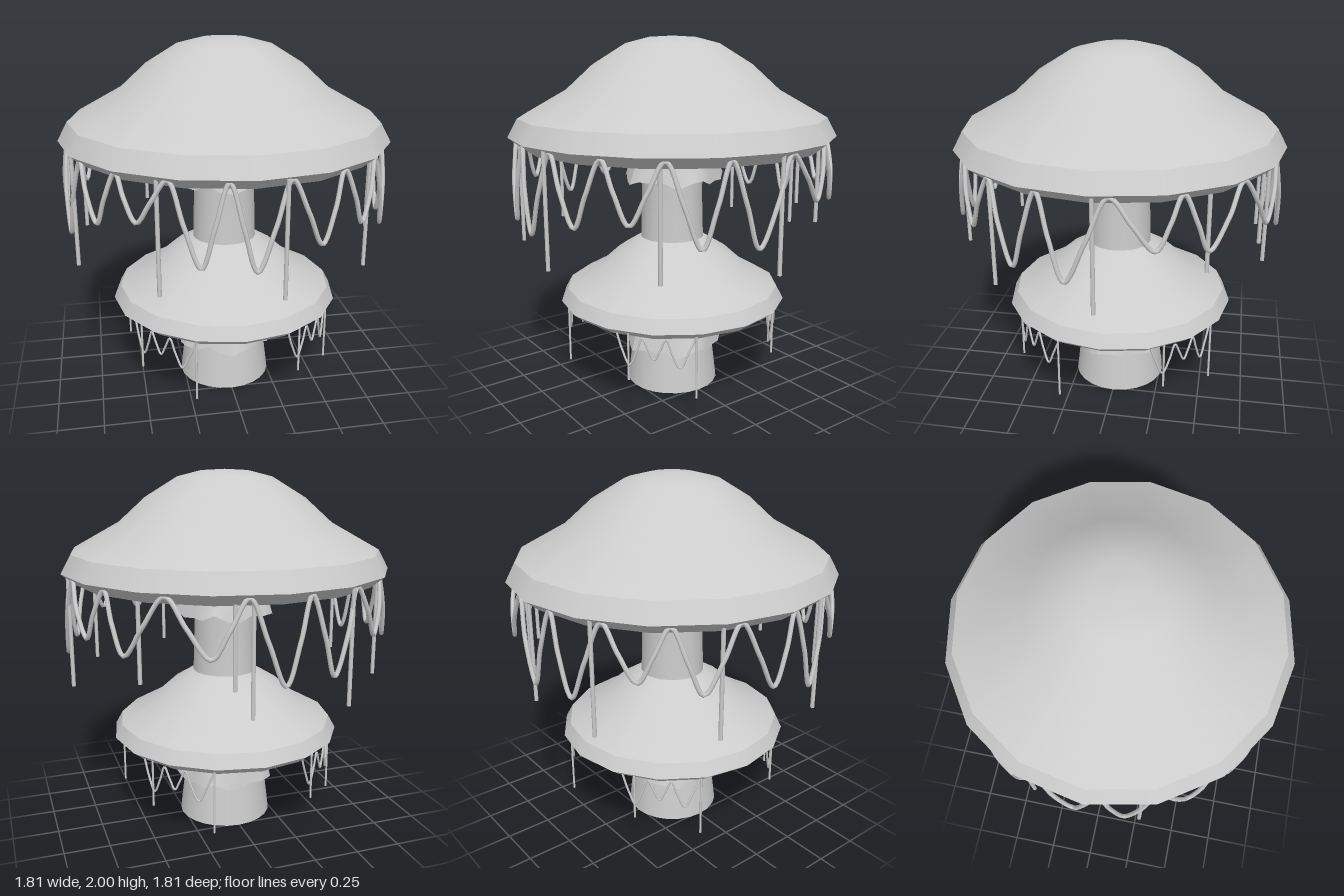
import * as THREE from 'three';

const grey = new THREE.MeshStandardMaterial({ color: 0xcccccc, side: THREE.DoubleSide });
grey.name = 'clay grey';

const V2 = (p) => new THREE.Vector2(p[0], p[1]);
const rad = THREE.MathUtils.degToRad;
// Point on a circle, angle in degrees from +z towards +x
const polar = (deg, r, y) => new THREE.Vector3(Math.sin(rad(deg)) * r, y, Math.cos(rad(deg)) * r);

function add(parent, name, geometry) {
  const mesh = new THREE.Mesh(geometry, grey);
  mesh.name = name;
  parent.add(mesh);
  return mesh;
}

// Cap: four lathed bands so that the rim edges stay sharp
function cap(name, scale, baseY) {
  const group = new THREE.Group();
  group.name = name;
  const bands = {
    underside: [[0, 0], [0.83, 0]],
    lip: [[0.83, 0], [0.905, 0.06]],
    rim: [[0.905, 0.06], [0.85, 0.16]],
    crown: [[0.85, 0.16], [0.59, 0.305], [0.44, 0.44], [0.26, 0.55], [0.13, 0.583], [0, 0.59]],
  };
  for (const [band, pts] of Object.entries(bands)) {
    add(group, band, new THREE.LatheGeometry(pts.map(V2), 16));
  }
  group.scale.setScalar(scale);
  group.position.y = baseY;
  return group;
}

// Flared ring around the stem with a ragged hem
function skirt(name, topY, height) {
  const sides = 24;
  const geo = new THREE.CylinderGeometry(0.21, 0.275, height, sides, 2, true);
  const pos = geo.attributes.position;
  for (let i = 0; i < pos.count; i++) {
    const k = i % (sides + 1) % sides;
    const t = 0.5 - pos.getY(i) / height;
    const wave = [0, 0.6, 1, 0.3][k % 4] + 0.4 * Math.sin(k * 2.6);
    const flare = 1 + t * t * 0.06 * Math.sin(k * 1.3 + 1);
    pos.setXYZ(i, pos.getX(i) * flare, pos.getY(i) + t * t * 0.03 * (wave - 0.5), pos.getZ(i) * flare);
  }
  geo.computeVertexNormals();
  const holder = new THREE.Group();
  add(holder, name, geo).position.y = topY - height / 2;
  return holder.children[0];
}

// Straight hanging thread
function strand(parent, x, z, top, bottom, r) {
  const mesh = add(parent, 'hangingStrand', new THREE.CylinderGeometry(r, r, top - bottom, 8));
  mesh.position.set(x, (top + bottom) / 2, z);
}

// Looping cord through alternating peaks and dips
function cord(parent, points, closed, r) {
  const curve = new THREE.CatmullRomCurve3(points, closed, 'centripetal');
  add(parent, 'loopedCord', new THREE.TubeGeometry(curve, points.length * 10, r, 7, closed));
}

export function createModel() {
  const model = new THREE.Group();
  model.name = 'tieredMushroom';

  // Stem, open at the foot
  add(model, 'stem', new THREE.LatheGeometry(
    [[0.265, 0], [0.235, 0.25], [0.205, 0.5], [0.18, 0.88], [0.172, 1.15], [0.18, 1.41]].map(V2), 24));
  model.add(skirt('lowerSkirt', 0.49, 0.25), skirt('upperSkirt', 1.42, 0.2));
  model.add(cap('lowerCap', 0.718, 0.48), cap('upperCap', 1, 1.41));

  // Upper fringe: one closed cord of uneven dips plus strands
  const upper = new THREE.Group();
  upper.name = 'upperFringe';
  model.add(upper);
  const dips = [[0, 1.02], [22, 1.11], [41, 1.15], [63, 1.04], [82, 1.02], [110, 1.19], [128, 1.15],
    [157, 1.17], [180, 1.03], [198, 1.04], [221, 1.18], [241, 1.12], [265, 1.1], [283, 1.02],
    [305, 1.17], [322, 1.23], [343, 1.04]];
  const path = [];
  dips.forEach(([a, y], i) => {
    const next = i + 1 < dips.length ? dips[i + 1][0] : 360;
    const gap = next - a;
    const top = 1.45;
    path.push(polar(a, 0.88, y), polar(a + gap * 0.25, 0.88, (y + top) / 2), polar(a + gap * 0.5, 0.86, top));
    const y2 = dips[(i + 1) % dips.length][1];
    path.push(polar(a + gap * 0.75, 0.88, (y2 + top) / 2));
  });
  cord(upper, path, true, 0.012);
  [[0.14, 0.865, 0.86], [0.65, 0.54, 0.86], [0.87, -0.015, 0.86], [0.615, -0.53, 1], [0.14, -0.815, 0.86],
    [0.22, -0.785, 1], [-0.385, -0.785, 0.86], [-0.785, -0.33, 0.86], [-0.83, 0.275, 0.86],
    [-0.445, 0.725, 0.86]].forEach(([x, z, y]) => strand(upper, x, z, 1.46, y, 0.011));

  // Lower fringe: the same short garland on each of the four diagonals
  for (let q = 0; q < 4; q++) {
    const garland = new THREE.Group();
    garland.name = 'lowerFringe';
    garland.rotation.y = q * Math.PI / 2;
    model.add(garland);
    const pts = [[25, 0.49], [28, 0.4], [32, 0.32], [36, 0.4], [39, 0.48], [42, 0.42], [45, 0.365], [48, 0.42],
      [51, 0.48], [54, 0.4], [58, 0.32], [62, 0.4], [66, 0.49]];
    cord(garland, pts.map(([a, y]) => polar(a, 0.6, y)), false, 0.006);
    for (const [a, y] of [[66, 0.15], [32, 0.24]]) {
      const p = polar(a, 0.61, 0);
      strand(garland, p.x, p.z, 0.5, y, 0.006);
    }
  }
  return model;
}
